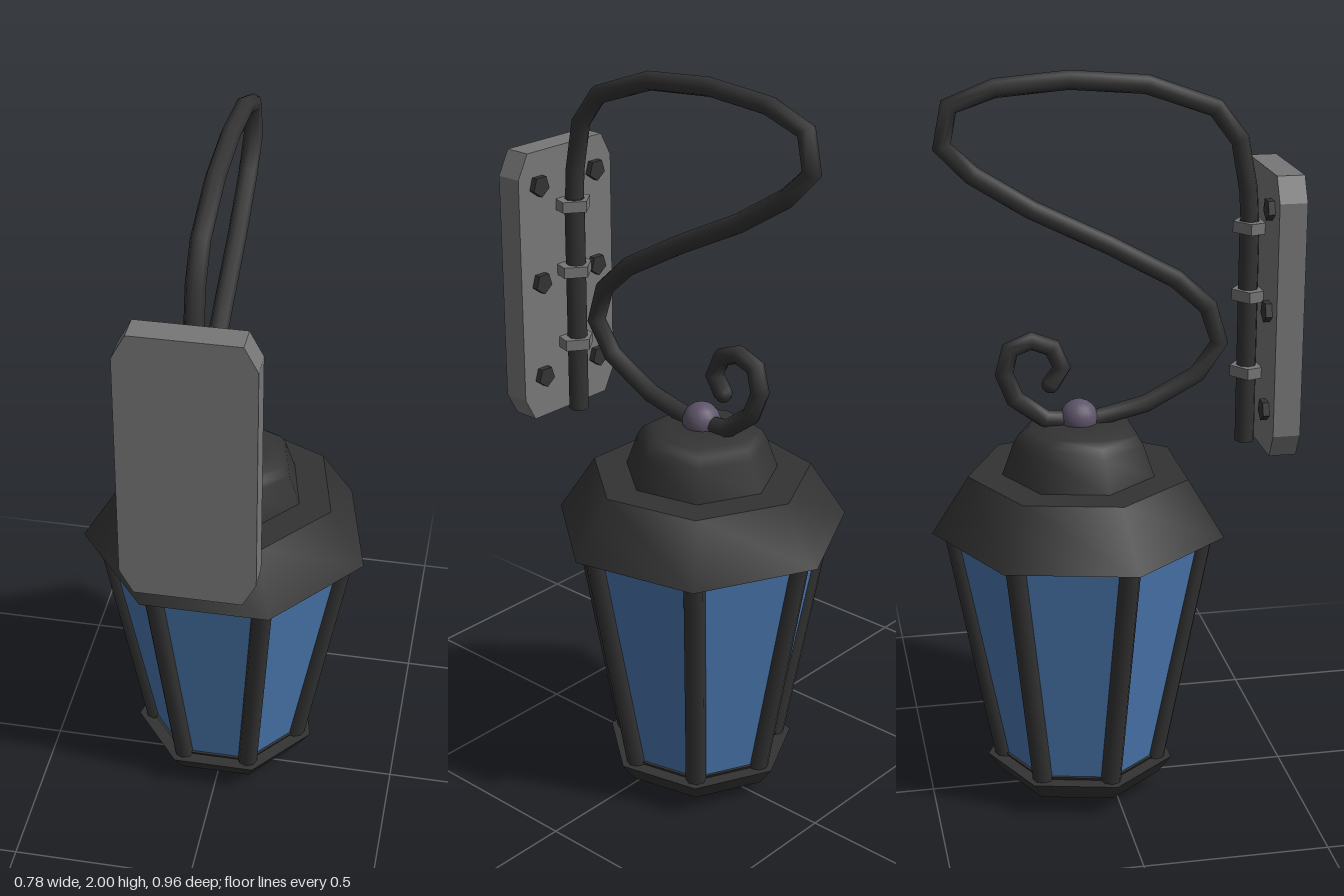
import * as THREE from 'three';
import { toCreasedNormals } from 'three/addons/utils/BufferGeometryUtils.js';

const SIDES = 7;
const LAMP_Z = -0.08;
const mat = (color, extra = {}) => {
  const m = new THREE.MeshStandardMaterial({ color });
  return Object.assign(m, extra);
};

export function createModel() {
  const root = new THREE.Group();
  const iron = mat(0x333333);
  const steel = mat(0x777777, { flatShading: true });
  const boltIron = mat(0x333333, { flatShading: true });
  const glassBlue = mat(0x4a78b0, { flatShading: true, side: THREE.DoubleSide });
  const knobPurple = mat(0x5d5468);

  const add = (parent, name, geo, material, x = 0, y = 0, z = 0) => {
    const mesh = new THREE.Mesh(geo, material);
    mesh.name = name;
    mesh.position.set(x, y, z);
    parent.add(mesh);
    return mesh;
  };

  // Seven-sided turned form, one corner pointing to -z
  const turned = (profile) => toCreasedNormals(
    new THREE.LatheGeometry(profile.map(([r, y]) => new THREE.Vector2(r, y)), SIDES, Math.PI), 0.95);

  // Straight rod between two points
  const rod = (parent, name, a, b, r, sides, material) => {
    const d = b.clone().sub(a);
    const mesh = add(parent, name, new THREE.CylinderGeometry(r, r, d.length(), sides), material);
    mesh.position.copy(a).add(b).multiplyScalar(0.5);
    mesh.quaternion.setFromUnitVectors(new THREE.Vector3(0, 1, 0), d.normalize());
  };

  // Lantern
  const lantern = new THREE.Group();
  lantern.name = 'lantern';
  lantern.position.z = LAMP_Z;
  root.add(lantern);

  add(lantern, 'lanternBase', turned([[0, 0.05], [0.225, 0.05], [0.262, 0.103], [0, 0.103]]), iron);
  add(lantern, 'glassPanes',
    new THREE.CylinderGeometry(0.347, 0.217, 0.68, SIDES, 1, true, Math.PI), glassBlue, 0, 0.44, 0);
  add(lantern, 'upperGlassRail', turned([[0.347, 0.765], [0.354, 0.765], [0.357, 0.785]]), iron);
  add(lantern, 'lowerGlassRail', turned([[0.22, 0.1], [0.228, 0.113], [0.218, 0.113]]), iron);
  for (let i = 0; i < SIDES; i++) {
    const a = Math.PI + (i / SIDES) * Math.PI * 2;
    const corner = (r, y) => new THREE.Vector3(Math.sin(a) * r, y, Math.cos(a) * r);
    rod(lantern, 'cornerPost', corner(0.212, 0.09), corner(0.342, 0.79), 0.028, 8, iron);
  }
  add(lantern, 'roof', turned([[0, 0.78], [0.4, 0.78], [0.3, 0.935], [0, 0.935]]), iron);
  add(lantern, 'roofDome', turned([
    [0.21, 0.93], [0.178, 1.02], [0.163, 1.045], [0.14, 1.06], [0.09, 1.07], [0, 1.072],
  ]), iron);
  add(lantern, 'topKnob', new THREE.SphereGeometry(0.051, 16, 12), knobPurple, 0, 1.083, 0);
  add(lantern, 'bottomKnob', new THREE.SphereGeometry(0.04, 16, 12), knobPurple, 0, 0.045, 0);

  // Scrolled arm, given as z, y along its length
  const path = [
    [0.375, 1.0], [0.375, 1.6], [0.37, 1.68], [0.345, 1.81], [0.28, 1.895], [0.1, 1.96],
    [-0.1, 1.977], [-0.29, 1.962], [-0.405, 1.92], [-0.425, 1.82], [-0.35, 1.745],
    [-0.2, 1.65], [0, 1.55], [0.18, 1.45], [0.268, 1.37], [0.3, 1.27], [0.24, 1.185],
    [0.1, 1.11], [-0.05, 1.075], [-0.17, 1.085], [-0.25, 1.145], [-0.278, 1.215],
    [-0.262, 1.28], [-0.205, 1.302], [-0.15, 1.28], [-0.125, 1.225], [-0.155, 1.18],
  ].map(([z, y]) => new THREE.Vector3(0, y, z));
  const curve = new THREE.CatmullRomCurve3(path);
  // Place the tube rings exactly on the path points
  curve.getPointAt = (t) => curve.getPoint(t);
  curve.getTangentAt = (t) => curve.getTangent(t);
  add(root, 'scrollArm', new THREE.TubeGeometry(curve, path.length - 1, 0.025, 8), iron);
  const tip = path[path.length - 1];
  add(root, 'scrollTip', new THREE.SphereGeometry(0.0245, 8, 6), iron, 0, tip.y, tip.z);
  rod(root, 'armSocket', new THREE.Vector3(0, 0.99, 0.375), new THREE.Vector3(0, 1.6, 0.375),
    0.027, 8, iron);

  // Wall plate with clipped corners
  const w = 0.173, cx = 0.035, cy = 0.065, y0 = 0.99, y1 = 1.742;
  const outline = new THREE.Shape([
    [-w + cx, y0], [w - cx, y0], [w, y0 + cy], [w, y1 - cy],
    [w - cx, y1], [-w + cx, y1], [-w, y1 - cy], [-w, y0 + cy],
  ].map(([x, y]) => new THREE.Vector2(x, y)));
  add(root, 'wallPlate', new THREE.ExtrudeGeometry(outline, { depth: 0.073, bevelEnabled: false }),
    steel, 0, 0, 0.407);

  // Five-sided clamps holding the arm
  for (const y of [1.19, 1.4, 1.583]) {
    add(root, 'armClamp', new THREE.CylinderGeometry(0.054, 0.054, 0.03, 5, 1, false, Math.PI),
      steel, 0, y, 0.384);
  }

  // Bolts in two columns
  for (const x of [-0.105, 0.105]) {
    for (const y of [1.11, 1.38, 1.65]) {
      const bolt = add(root, 'plateBolt', new THREE.CylinderGeometry(0.03, 0.03, 0.03, 5),
        boltIron, x, y, 0.405);
      bolt.rotation.x = Math.PI / 2;
    }
  }
  return root;
}
